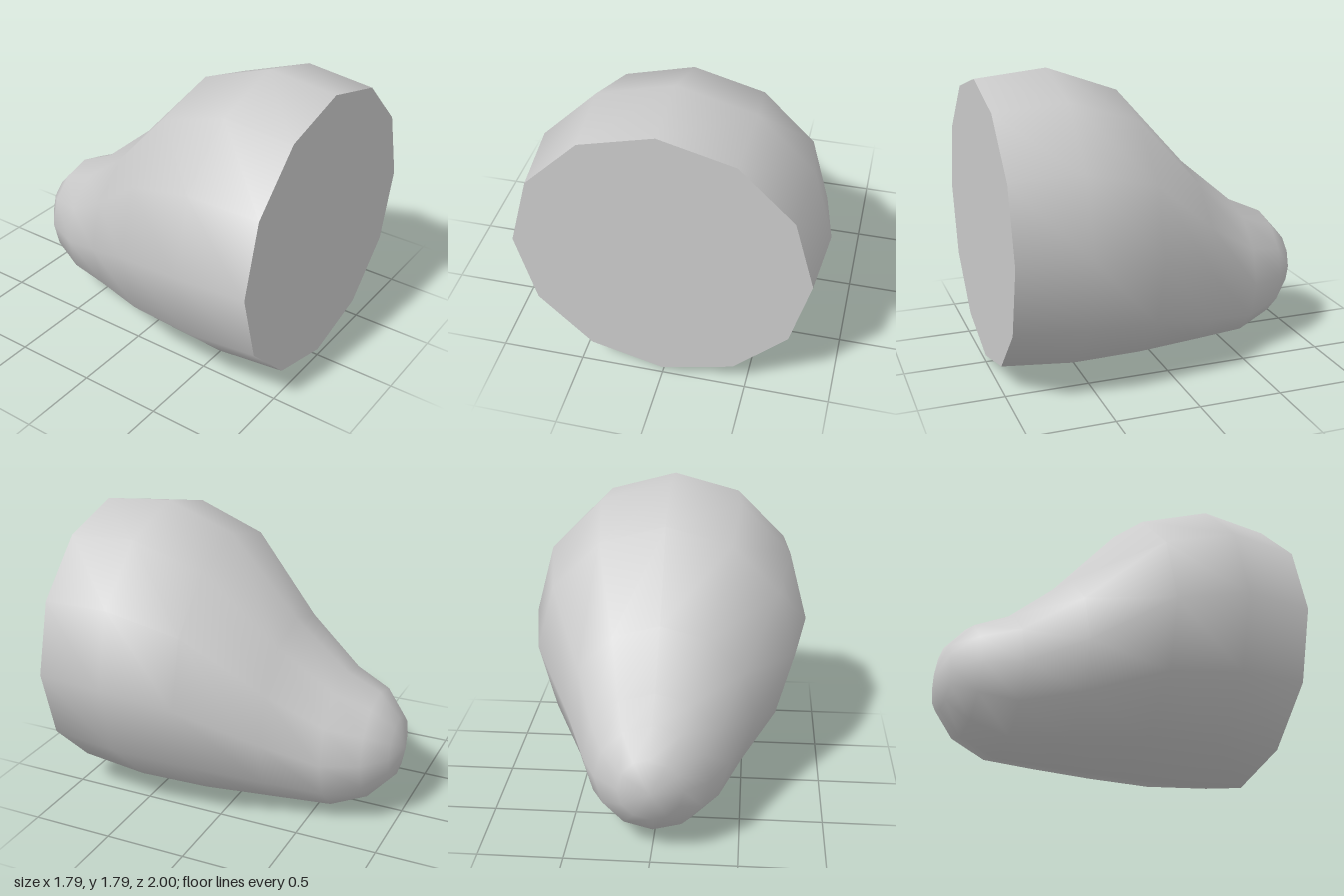
import * as THREE from 'three';

const SIDES = 12;

// Circular cross-sections from front to back: [z, centre height, radius]
const RINGS = [
  [1, 0.9, 0.855],
  [0.575, 0.9, 0.895],
  [0.145, 0.82, 0.817],
  [-0.28, 0.582, 0.577],
  [-0.61, 0.446, 0.432],
  [-0.825, 0.445, 0.335],
  [-0.953, 0.445, 0.19],
];
const TIP = [0, 0.445, -1];

// Joins the rings into one smooth skin that closes at the tip
function skinGeometry() {
  const positions = [];
  const index = [];
  for (const [z, cy, r] of RINGS) {
    for (let i = 0; i < SIDES; i++) {
      const a = (i / SIDES) * Math.PI * 2;
      positions.push(r * Math.cos(a), cy + r * Math.sin(a), z);
    }
  }
  const tip = positions.length / 3;
  positions.push(...TIP);

  for (let k = 0; k < RINGS.length; k++) {
    for (let i = 0; i < SIDES; i++) {
      const a = k * SIDES + i;
      const b = k * SIDES + ((i + 1) % SIDES);
      if (k === RINGS.length - 1) index.push(a, tip, b);
      else index.push(a, a + SIDES, b, b, a + SIDES, b + SIDES);
    }
  }

  const geometry = new THREE.BufferGeometry();
  geometry.setAttribute('position', new THREE.Float32BufferAttribute(positions, 3));
  geometry.setIndex(index);
  geometry.computeVertexNormals();
  return geometry;
}

export function createModel() {
  const group = new THREE.Group();
  group.name = 'taperedBody';
  const material = new THREE.MeshStandardMaterial({ color: 0xcccccc });

  // Bulging body that droops into a rounded nose at the back
  const body = new THREE.Mesh(skinGeometry(), material);
  body.name = 'body';
  group.add(body);

  // Flat cut face at the front
  const [z, cy, r] = RINGS[0];
  const face = new THREE.Mesh(new THREE.CircleGeometry(r, SIDES), material);
  face.name = 'frontFace';
  face.position.set(0, cy, z);
  group.add(face);

  return group;
}
